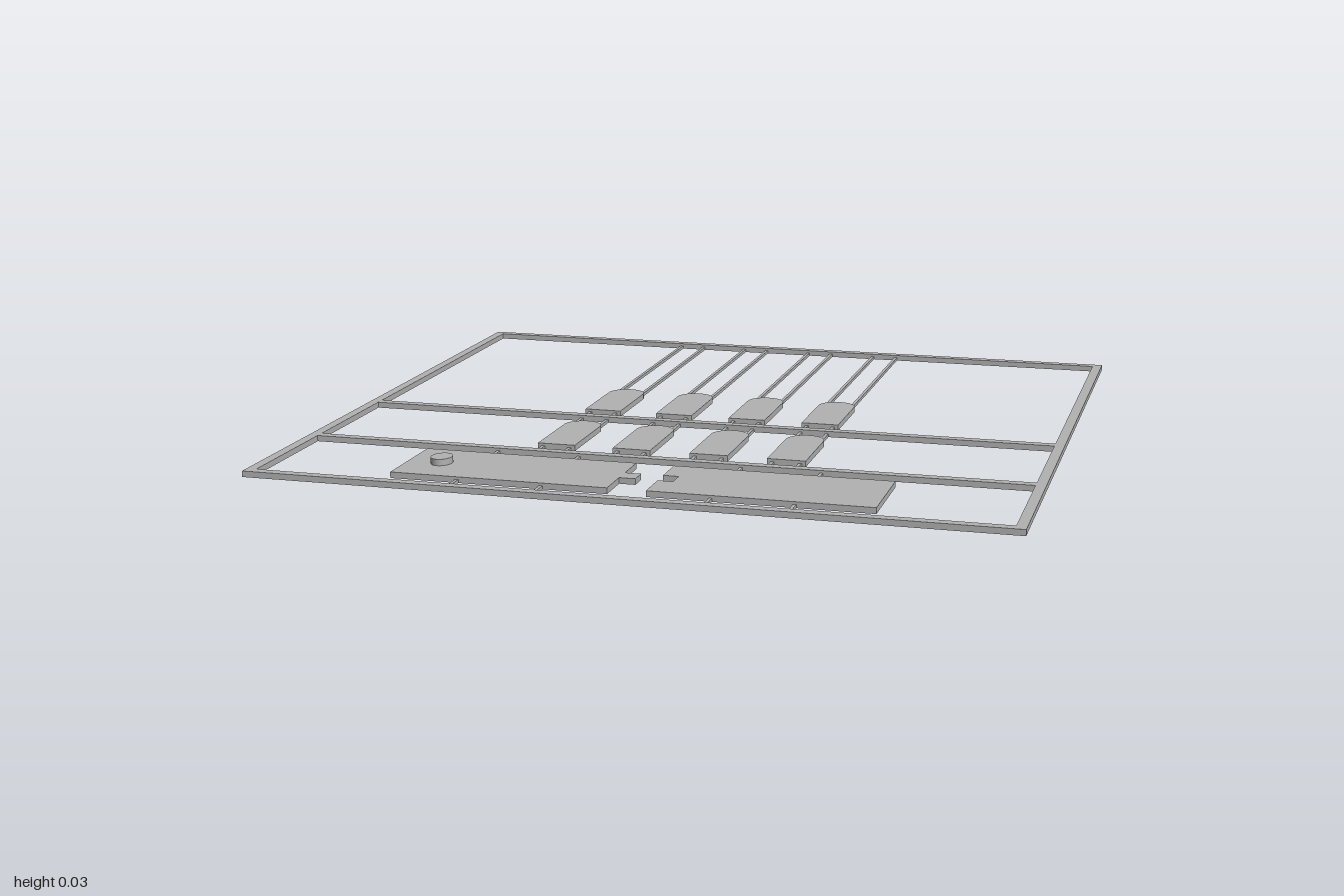
import * as THREE from 'three';

const T = 0.016; // sheet thickness

export function createModel() {
  const model = new THREE.Group();
  const grey = new THREE.MeshStandardMaterial({ color: 0xb2b2b2 });
  grey.name = 'plain grey';

  function add(name, geometry, parent = model) {
    const mesh = new THREE.Mesh(geometry, grey);
    mesh.name = name;
    parent.add(mesh);
    return mesh;
  }
  // Box standing on the ground, given by its x and z ranges
  function bar(name, x0, x1, z0, z1, h = T, parent = model) {
    const mesh = add(name, new THREE.BoxGeometry(x1 - x0, h, z1 - z0), parent);
    mesh.position.set((x0 + x1) / 2, h / 2, (z0 + z1) / 2);
  }
  // Flat plate from an outline drawn in (x, -z)
  function plate(name, shape) {
    const geometry = new THREE.ExtrudeGeometry(shape, { depth: T, bevelEnabled: false, curveSegments: 16 });
    geometry.rotateX(-Math.PI / 2);
    return add(name, geometry);
  }
  const outline = (points) => new THREE.Shape(points.map(([x, z]) => new THREE.Vector2(x, -z)));

  // Rectangular frame with two cross bars
  const W = 0.027, D = 0.925;
  const frame = outline([[-1, D], [1, D], [1, -D], [-1, -D]]);
  const openings = [[-D + W, 0.101], [0.128, 0.508], [0.535, D - W]];
  for (const [z0, z1] of openings) {
    frame.holes.push(outline([[-1 + W, z0], [1 - W, z0], [1 - W, z1], [-1 + W, z1]]));
  }
  plate('frame', frame);

  // Four columns of round-ended tags hung on paired runners
  const half = 0.052, runner = 0.0045, runnerHeight = 0.009;
  for (const x of [-0.316, -0.106, 0.106, 0.316]) {
    for (const [z0, z1] of [[-0.222, 0.05], [0.184, 0.454]]) {
      const tag = new THREE.Shape();
      tag.moveTo(x - half, -z1);
      tag.lineTo(x + half, -z1);
      tag.lineTo(x + half, -z0 - half);
      tag.absarc(x, -z0 - half, half, 0, Math.PI, false);
      plate('tag', tag);
    }
    for (const side of [-1, 1]) {
      const rx = x + side * 0.037;
      for (const [z0, z1] of [[-0.9, -0.2], [0.05, 0.103], [0.126, 0.205], [0.454, 0.51]]) {
        bar('tagRunner', rx - runner, rx + runner, z0, z1, runnerHeight);
      }
    }
  }

  // Two large plates, one with a tab and one with the matching notch
  const Z0 = 0.587, Z1 = 0.835, T0 = 0.685, T1 = 0.735;
  plate('tabPlate', outline([
    [-0.631, Z1], [-0.051, Z1], [-0.051, T1], [-0.008, T1],
    [-0.008, T0], [-0.051, T0], [-0.051, Z0], [-0.631, Z0],
  ]));
  plate('notchPlate', outline([
    [0.05, Z1], [0.629, Z1], [0.629, Z0], [0.05, Z0],
    [0.05, T0], [0.091, T0], [0.091, T1], [0.05, T1],
  ]));
  for (const x of [-0.45, -0.225, 0.215, 0.427]) {
    bar('plateRunner', x - runner, x + runner, 0.533, Z0, runnerHeight);
    bar('plateRunner', x - runner, x + runner, Z1, 0.9, runnerHeight);
  }

  // Oval stud on the tab plate
  const stud = add('stud', new THREE.CylinderGeometry(1, 1, 0.018, 32));
  stud.scale.set(0.028, 1, 0.035);
  stud.position.set(-0.539, 0.024, 0.712);

  return model;
}
